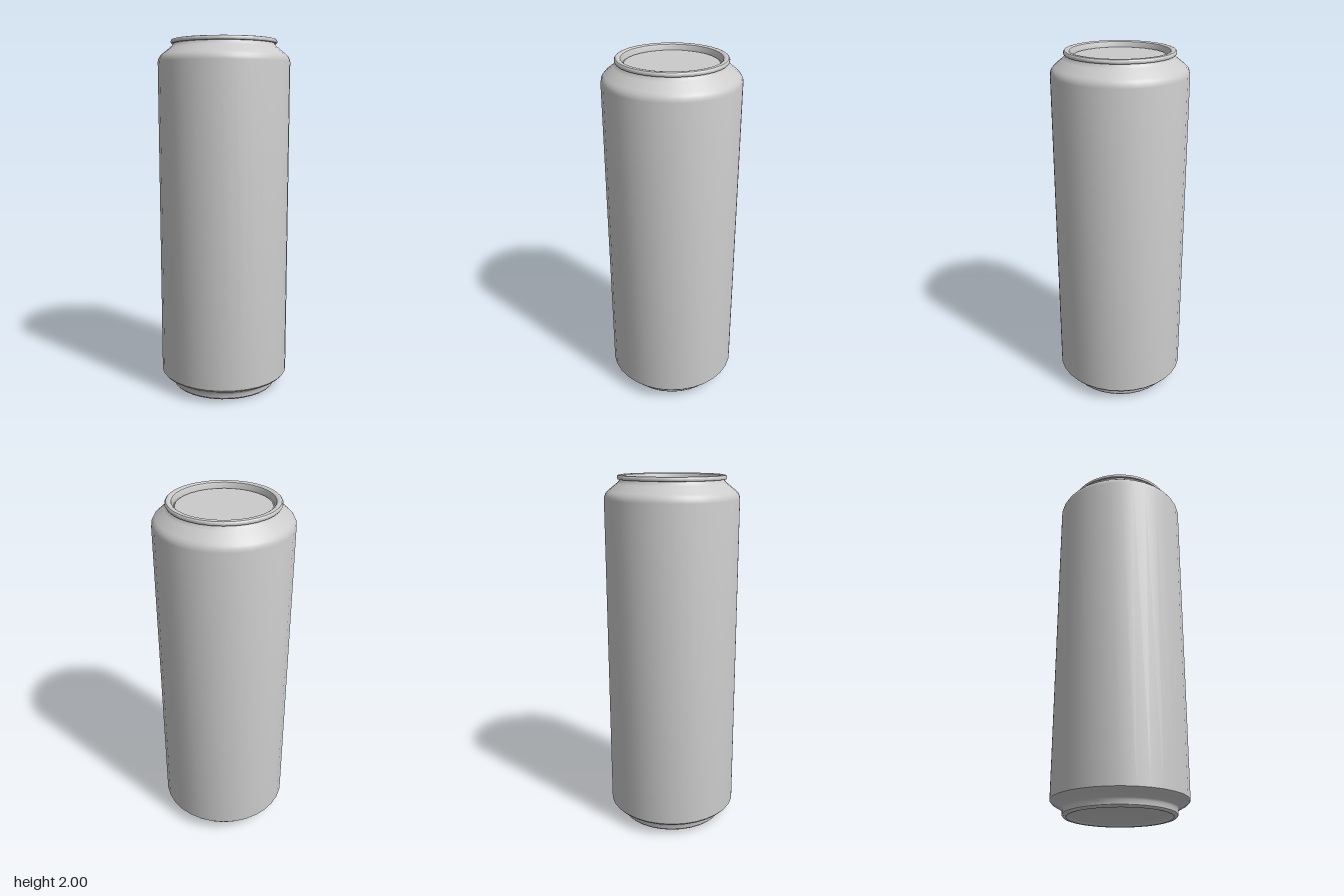
import * as THREE from 'three';
import { toCreasedNormals } from 'three/addons/utils/BufferGeometryUtils.js';

const SIDES = 32;

export function createModel() {
  const group = new THREE.Group();
  group.name = 'drinkCan';
  const material = new THREE.MeshStandardMaterial({ color: 0xcccccc, side: THREE.DoubleSide });

  // Turn a profile of [radius, height] pairs around the y axis
  function turned(name, profile, crease = 0.6) {
    const points = profile.map(([r, y]) => new THREE.Vector2(r, y));
    const geometry = toCreasedNormals(new THREE.LatheGeometry(points, SIDES), crease);
    const mesh = new THREE.Mesh(geometry, material);
    mesh.name = name;
    group.add(mesh);
  }

  // Concave domed base, from the centre out to the standing ring
  const dome = [];
  for (let i = 0; i <= 8; i++) {
    const t = i / 8;
    dome.push([0.272 * t, 0.012 + 0.075 * (1 - t * t)]);
  }
  turned('baseDome', dome);

  // Rounded ring the can stands on, with its lower taper
  turned('baseRing', [
    [0.272, 0.012], [0.28, 0.002], [0.288, 0], [0.297, 0.003], [0.304, 0.012],
    [0.305, 0.035], [0.311, 0.045], [0.36, 0.073], [0.37, 0.085],
  ]);

  // Straight wall and rounded shoulder
  turned('body', [
    [0.37, 0.085], [0.37, 1.875], [0.367, 1.89], [0.36, 1.904], [0.348, 1.917],
    [0.3, 1.955], [0.288, 1.966], [0.284, 1.976],
  ]);

  // Rolled rim and inner wall
  turned('rim', [
    [0.284, 1.976], [0.294, 1.977], [0.297, 1.983], [0.296, 1.992], [0.291, 1.998],
    [0.283, 2], [0.272, 1.999], [0.265, 1.995], [0.262, 1.988], [0.258, 1.962],
  ]);

  // Recessed lid with a shallow edge step
  turned('lid', [[0.258, 1.962], [0.253, 1.962], [0.248, 1.968], [0, 1.968]], 0.4);

  return group;
}
